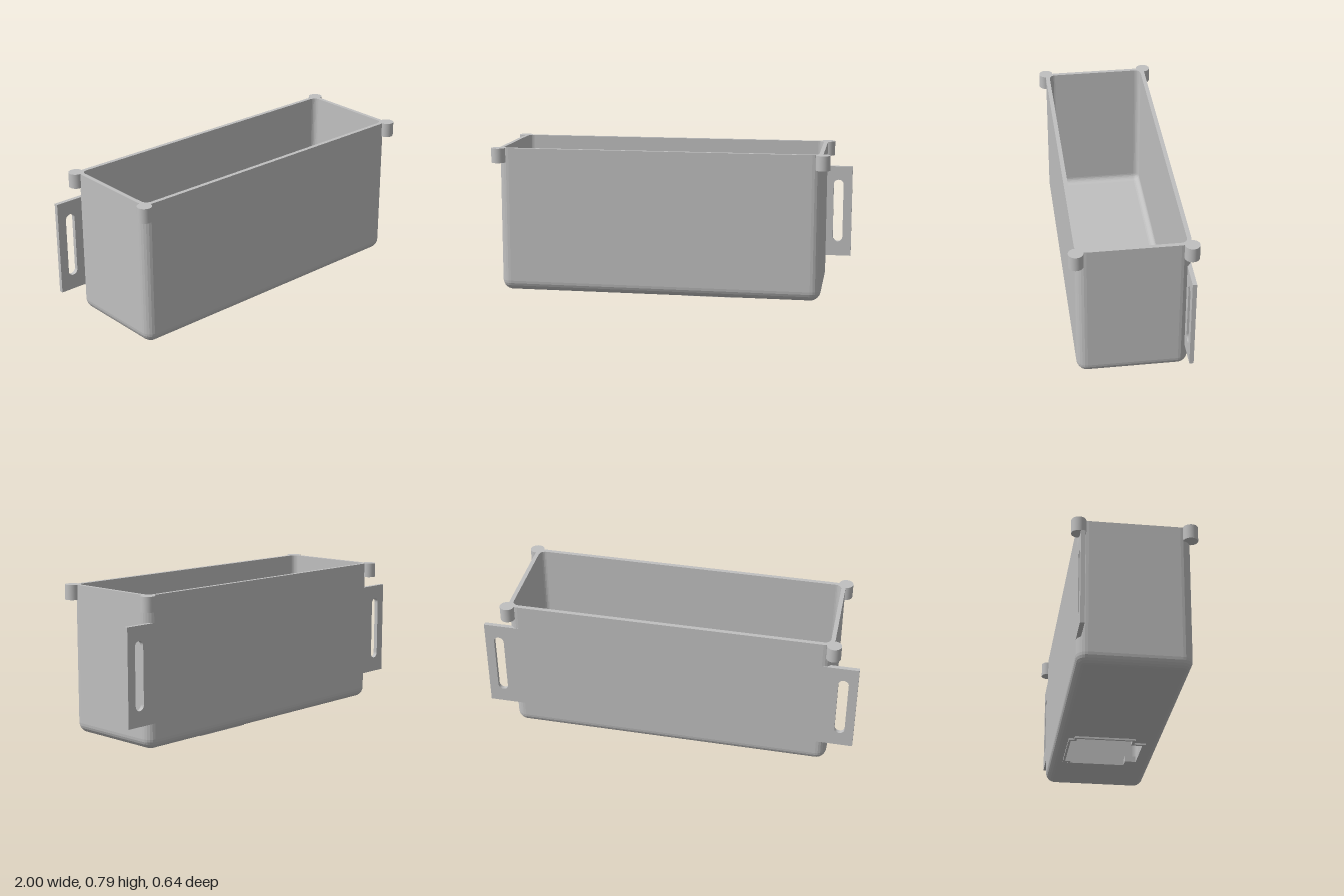
import * as THREE from 'three';

const W = 0.862, D = 0.287, TOP = 0.79, BOTTOM = 0.01; // tray outside
const R = 0.055, T = 0.022, SEG = 6;                   // corner radius, wall, facets

// One horizontal ring of the tray: a rounded rectangle about fixed corner centres
function ring(r, y) {
  const points = [];
  [[1, 1], [-1, 1], [-1, -1], [1, -1]].forEach(([sx, sz], q) => {
    for (let i = 0; i <= SEG; i++) {
      const a = (q + i / SEG) * Math.PI / 2;
      points.push([sx * (W - R) + r * Math.cos(a), y, sz * (D - R) + r * Math.sin(a)]);
    }
  });
  return points;
}

// Walls: outside from the floor up, over the rim, and back down the inside
function wallGeometry() {
  const rings = [], r = R - T;
  for (let i = 0; i <= SEG; i++) {
    const a = i / SEG * Math.PI / 2;
    rings.push(ring(R * Math.sin(a), BOTTOM + R * (1 - Math.cos(a))));
  }
  rings.push(ring(R, TOP), ring(r, TOP));
  for (let i = SEG; i >= 0; i--) {
    const a = i / SEG * Math.PI / 2;
    rings.push(ring(r * Math.sin(a), BOTTOM + R - r * Math.cos(a)));
  }
  const n = rings[0].length, index = [];
  for (let i = 0; i < rings.length - 1; i++) {
    for (let j = 0; j < n; j++) {
      const k = (j + 1) % n;
      const a = i * n + j, b = a + n, c = i * n + k, d = c + n;
      index.push(a, b, c, b, d, c);
    }
  }
  const g = new THREE.BufferGeometry();
  g.setAttribute('position', new THREE.Float32BufferAttribute(rings.flat(2), 3));
  g.setIndex(index);
  const flat = g.toNonIndexed();
  flat.computeVertexNormals();
  return flat;
}

// Notched outline of the floor opening: main block plus a back and a front tab
function notched(PathType, main, back, front) {
  const [x0, x1, z0, z1] = main, [b0, b1, bz] = back, [f0, f1, fz] = front;
  return new PathType([
    [f0, fz], [f1, fz], [f1, z1], [x1, z1], [x1, z0], [b1, z0],
    [b1, bz], [b0, bz], [b0, z0], [x0, z0], [x0, z1], [f0, z1],
  ].map(([x, z]) => new THREE.Vector2(x, -z)));
}

function rectangle(x0, x1, y0, y1) {
  return new THREE.Shape([[x0, y0], [x1, y0], [x1, y1], [x0, y1]].map(p => new THREE.Vector2(...p)));
}

function slab(shape, y, height) {
  const g = new THREE.ExtrudeGeometry(shape, { depth: height, bevelEnabled: false });
  return g.rotateX(-Math.PI / 2).translate(0, y, 0);
}

export function createModel() {
  const group = new THREE.Group();
  const grey = new THREE.MeshStandardMaterial({ color: 0xc0c0c0 });
  const add = (name, geometry) => {
    const mesh = new THREE.Mesh(geometry, grey);
    mesh.name = name;
    group.add(mesh);
    return mesh;
  };

  add('trayWalls', wallGeometry());

  // Floor with its opening, and the thin lip under it
  const opening = () => notched(THREE.Path, [0.097, 0.46, -0.18, 0.125], [0.13, 0.435, -0.21], [0.155, 0.4, 0.187]);
  const floor = rectangle(-(W - R), W - R, -(D - R), D - R);
  floor.holes.push(opening());
  add('floor', slab(floor, BOTTOM, T));
  const lip = notched(THREE.Shape, [0.083, 0.474, -0.192, 0.14], [0.116, 0.449, -0.222], [0.14, 0.415, 0.205]);
  lip.holes.push(opening());
  add('openingLip', slab(lip, 0, BOTTOM));

  // Slotted mounting ears, flush with the back wall
  for (const side of [1, -1]) {
    const ear = rectangle(-0.1, 0.1, 0.148, 0.652);
    const slot = new THREE.Path(), sx = side * 0.025, sr = 0.027;
    slot.absarc(sx, 0.55, sr, 0, Math.PI, false);
    slot.absarc(sx, 0.255, sr, Math.PI, Math.PI * 2, false);
    ear.holes.push(slot);
    const g = new THREE.ExtrudeGeometry(ear, { depth: T, bevelEnabled: false, curveSegments: 10 });
    add(side > 0 ? 'leftEar' : 'rightEar', g).position.set(side * 0.9, 0, -D);
  }

  // Round bosses at the top corners
  const boss = new THREE.CylinderGeometry(0.038, 0.038, 0.078, 32);
  for (const x of [W, -W]) {
    for (const z of [0.284, -0.284]) {
      add('cornerBoss', boss).position.set(x, TOP - 0.039, z);
    }
  }
  return group;
}
